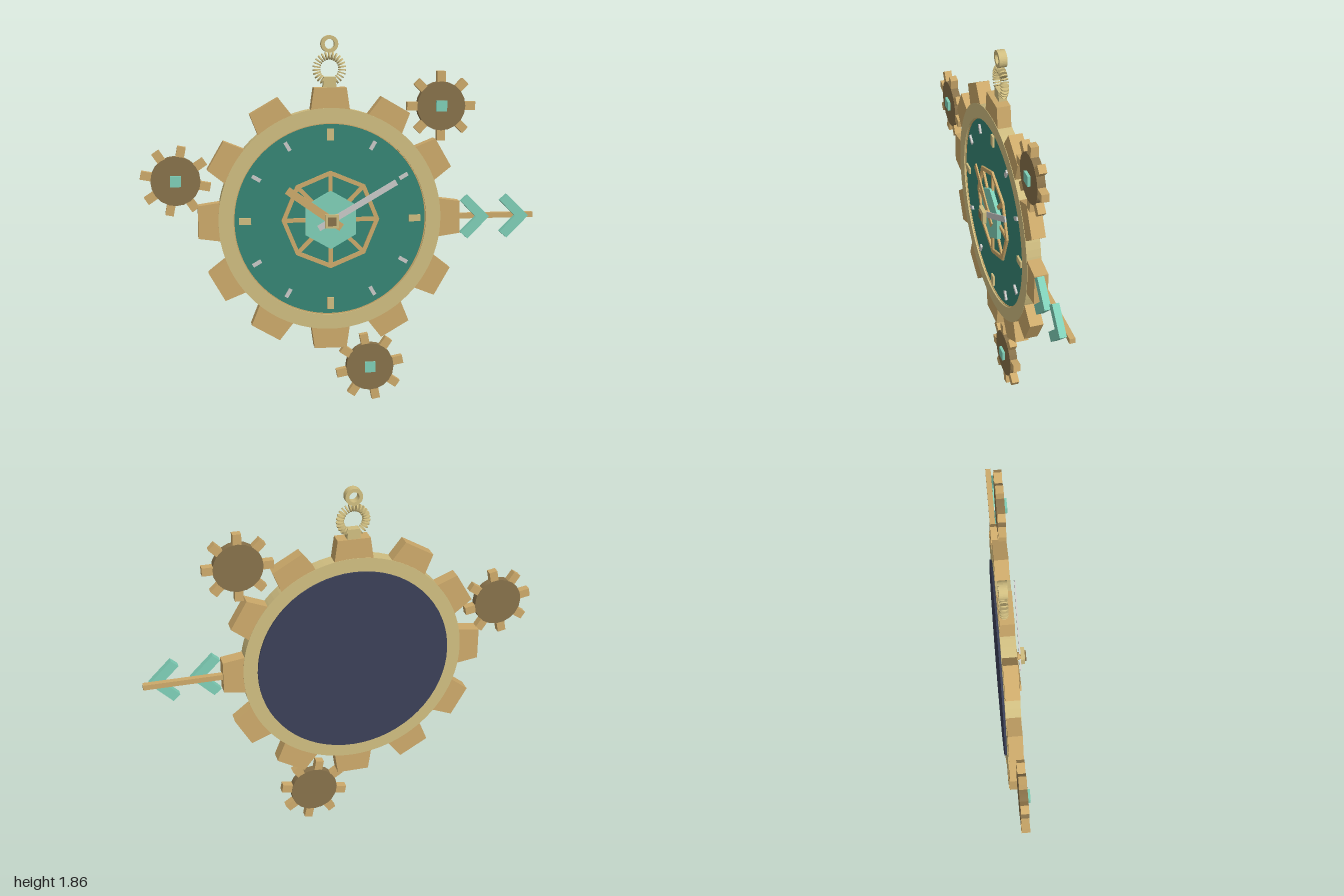
import * as THREE from 'three';

const CX = -0.055, CY = 0.946; // dial centre

const mat = (name, color, opts = {}) => {
  const m = new THREE.MeshStandardMaterial({ color, ...opts });
  m.name = name;
  return m;
};

export function createModel() {
  const bronze = mat('bronze', 0xcca96a);
  const brass = mat('brass', 0xcfbd80);
  const teal = mat('teal enamel', 0x368574);
  const mint = mat('mint', 0x7fcfb7);
  const umber = mat('dark bronze', 0x87714a);
  const silver = mat('silver', 0xc9c9c7);
  const navy = mat('navy', 0x3b4057);

  const model = new THREE.Group();
  model.name = 'gearClock';

  const add = (parent, name, geo, material, x = 0, y = 0, z = 0, rot = 0) => {
    const mesh = new THREE.Mesh(geo, material);
    mesh.name = name;
    mesh.position.set(x, y, z);
    mesh.rotation.z = rot;
    parent.add(mesh);
    return mesh;
  };
  const group = (name, x, y, parent = model) => {
    const g = new THREE.Group();
    g.name = name;
    g.position.set(x, y, 0);
    parent.add(g);
    return g;
  };
  // Flat outline extruded between two depths
  const slab = (shape, z0, z1, curveSegments = 32) =>
    new THREE.ExtrudeGeometry(shape, { depth: z1 - z0, bevelEnabled: false, curveSegments }).translate(0, 0, z0);
  const poly = (pts) => new THREE.Shape(pts.map(([x, y]) => new THREE.Vector2(x, y)));
  // Round plate facing the front
  const disc = (r, z0, z1, sides) =>
    new THREE.CylinderGeometry(r, r, z1 - z0, sides).rotateX(Math.PI / 2).translate(0, 0, (z0 + z1) / 2);
  const annulus = (outer, inner, z0, z1, segments) => {
    const s = new THREE.Shape().absarc(0, 0, outer, 0, Math.PI * 2);
    s.holes.push(new THREE.Path().absarc(0, 0, inner, 0, Math.PI * 2, true));
    return slab(s, z0, z1, segments);
  };
  // Box running along local x from a to b
  const bar = (a, b, width, z0, z1) =>
    new THREE.BoxGeometry(b - a, width, z1 - z0).translate((a + b) / 2, 0, (z0 + z1) / 2);

  // Main wheel: rim, enamel face, back plate, twelve tapered teeth
  const wheel = group('mainWheel', CX, CY);
  add(wheel, 'rim', annulus(0.563, 0.488, -0.063, 0.01, 48), brass);
  add(wheel, 'faceEdge', annulus(0.489, 0.483, -0.03, 0.002, 48), bronze);
  add(wheel, 'dialFace', disc(0.486, -0.05, -0.002, 64), teal);
  add(wheel, 'backPlate', disc(0.492, -0.073, -0.055, 64), navy);
  const tooth = slab(poly([[0.53, -0.101], [0.663, -0.082], [0.663, 0.082], [0.53, 0.101]]), -0.061, 0.008);
  for (let i = 0; i < 12; i++) {
    const a = (i * Math.PI) / 6;
    add(wheel, 'wheelTooth', tooth, bronze, 0, 0, 0, a);
    // Hour markers, larger at the quarters
    if (i % 3 === 0) add(wheel, 'quarterMarker', bar(0.4, 0.46, 0.034, -0.01, 0.008), brass, 0, 0, 0, a);
    else add(wheel, 'hourMarker', bar(0.406, 0.454, 0.019, -0.01, 0.008), silver, 0, 0, 0, a);
  }

  // Eight-spoked lattice around the middle
  const lattice = group('lattice', 0, 0, wheel);
  const R = 0.237, side = 2 * R * Math.sin(Math.PI / 8), apothem = R * Math.cos(Math.PI / 8);
  for (let i = 0; i < 8; i++) {
    const a = (i * Math.PI) / 4;
    add(lattice, 'spoke', bar(0.03, R, 0.021, -0.01, 0.009), bronze, 0, 0, 0, a);
    const m = a + Math.PI / 8;
    add(lattice, 'latticeEdge', bar(-side / 2 - 0.005, side / 2 + 0.005, 0.021, -0.01, 0.0095), bronze,
      Math.cos(m) * apothem, Math.sin(m) * apothem, 0, m + Math.PI / 2);
  }

  // Hexagonal boss, hands and square hub
  const hex = poly([...Array(6)].map((_, i) => {
    const a = Math.PI / 6 + (i * Math.PI) / 3;
    return [0.148 * Math.cos(a), 0.148 * Math.sin(a)];
  }));
  add(wheel, 'hexagonBoss', slab(hex, 0, 0.02), mint);
  add(wheel, 'hourHand', bar(-0.065, 0.27, 0.04, 0.023, 0.03), bronze, 0, 0, 0, 2.525);
  add(wheel, 'minuteHand', bar(-0.075, 0.38, 0.03, 0.039, 0.046), silver, 0, 0, 0, Math.PI / 6);
  add(wheel, 'handAxle', disc(0.02, 0.01, 0.05, 16), bronze);
  add(wheel, 'hub', bar(-0.034, 0.034, 0.068, 0.046, 0.066), brass);
  add(wheel, 'hubCap', bar(-0.022, 0.022, 0.044, 0.06, 0.073), umber);

  // Three small satellite gears
  for (const [x, y, turn] of [[0.506, 1.513, 0], [-0.826, 1.155, -0.19], [0.148, 0.176, 0.19]]) {
    const gear = group('smallGear', x, y);
    add(gear, 'gearDisc', disc(0.123, -0.03, 0.01, 20), umber);
    for (let i = 0; i < 8; i++) {
      add(gear, 'gearTooth', bar(0.115, 0.174, 0.042, -0.029, 0.009), bronze, 0, 0, 0, turn + (i * Math.PI) / 4);
    }
    add(gear, 'gearStud', bar(-0.027, 0.027, 0.054, 0, 0.024), mint);
  }

  // Side arrow: shaft with two chevrons
  const arrow = group('arrow', 0, CY);
  add(arrow, 'arrowShaft', bar(0.58, 1, 0.027, -0.052, -0.024), bronze);
  const chevron = slab(poly([[0, 0], [-0.112, 0.112], [-0.148, 0.08], [-0.068, 0],
    [-0.148, -0.08], [-0.112, -0.112]].reverse()), -0.024, 0.01);
  for (const x of [0.762, 0.967]) add(arrow, 'chevron', chevron, mint, x);

  // Hanger: tapered foot, coil bent into a loop, ring on top
  const hanger = group('hanger', CX, 0);
  add(hanger, 'hangerFoot', slab(poly([[-0.034, 1.6], [0.034, 1.6], [0.03, 1.66], [-0.03, 1.66]]), -0.058, -0.018), brass);
  const turnDisc = new THREE.CylinderGeometry(0.02, 0.02, 0.007, 16);
  const turns = 23;
  for (let i = 0; i < turns; i++) {
    const a = -1.02 + (i / (turns - 1)) * (Math.PI + 2.04);
    add(hanger, 'coilTurn', turnDisc, brass, 0.065 * Math.cos(a), 1.7 + 0.065 * Math.sin(a), -0.038, a);
  }
  add(hanger, 'ringStem', bar(-0.006, 0.006, 0.03, -0.045, -0.031), brass, 0, 1.778);
  add(hanger, 'hangerRing', annulus(0.043, 0.025, -0.058, -0.018, 16), brass, 0, 1.823);

  return model;
}
